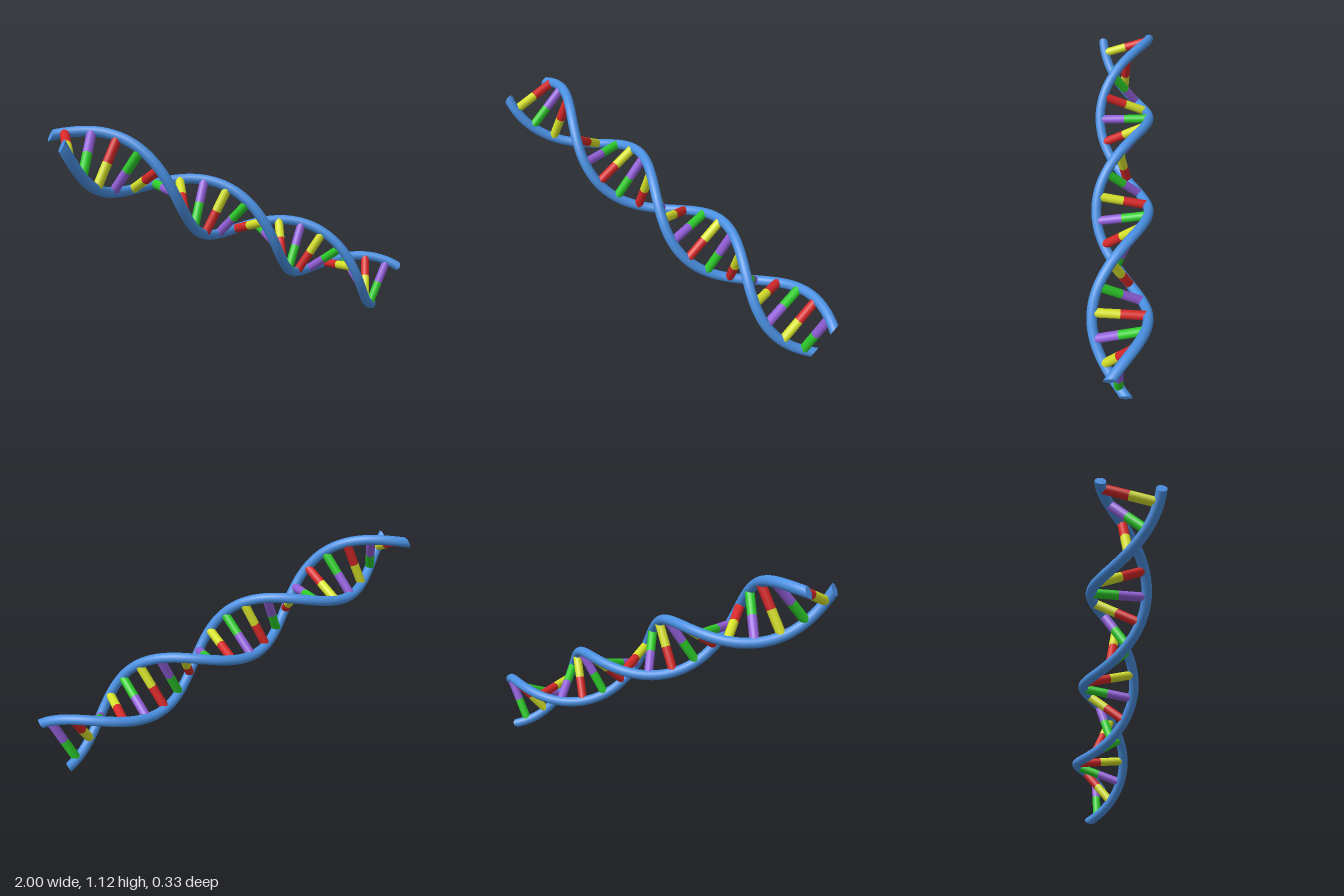
import * as THREE from 'three';
import { ParametricGeometry } from 'three/addons/geometries/ParametricGeometry.js';

const LENGTH = 2.121, RADIUS = 0.137, TUBE = 0.026, RUNG = 0.0235;
const START = THREE.MathUtils.degToRad(-82.7), SWEEP = THREE.MathUtils.degToRad(638);
const TILT = Math.atan(0.479), RUNGS = 20;
// Sections lie square to the axis, so they are stretched along the turn
const STRETCH = Math.hypot(1, (RADIUS * SWEEP) / LENGTH);

const mat = (name, color) => {
  const m = new THREE.MeshStandardMaterial({ color });
  m.name = name;
  return m;
};

// Outward and sideways directions of a strand; t runs 0..1 along the axis
function frame(t, side) {
  const a = START + t * SWEEP;
  const c = side * Math.cos(a), s = side * Math.sin(a);
  return { out: new THREE.Vector3(0, c, s), turn: new THREE.Vector3(0, -s, c) };
}

function strandTube(side) {
  return new ParametricGeometry((u, v, target) => {
    const { out, turn } = frame(v, side);
    const b = u * Math.PI * 2;
    target.set((v - 0.5) * LENGTH, 0, 0)
      .addScaledVector(out, RADIUS + TUBE * Math.cos(b))
      .addScaledVector(turn, TUBE * STRETCH * Math.sin(b));
  }, 20, 160);
}

// Flat end of a strand, cut square to the axis
function strandCap(t, side) {
  const { out, turn } = frame(t, side);
  const facing = t ? 1 : -1;
  const m = new THREE.Matrix4().makeBasis(
    out.clone().multiplyScalar(TUBE),
    turn.multiplyScalar(TUBE * STRETCH * facing),
    new THREE.Vector3(facing, 0, 0)
  );
  m.setPosition(out.multiplyScalar(RADIUS).setX((t - 0.5) * LENGTH));
  return new THREE.CircleGeometry(1, 20).applyMatrix4(m);
}

export function createModel() {
  const blue = mat('strand blue', 0x4a90e2);
  const red = mat('base red', 0xd62828);
  const yellow = mat('base yellow', 0xd6e22a);
  const green = mat('base green', 0x2dcc2a);
  const purple = mat('base purple', 0x935fda);

  const helix = new THREE.Group();
  helix.name = 'doubleHelix';

  // Two opposite strands with flat end caps
  for (const side of [1, -1]) {
    const group = new THREE.Group();
    group.name = side > 0 ? 'firstStrand' : 'secondStrand';
    const tube = new THREE.Mesh(strandTube(side), blue);
    tube.name = 'strandTube';
    group.add(tube);
    for (const t of [0, 1]) {
      const cap = new THREE.Mesh(strandCap(t, side), blue);
      cap.name = 'strandEndCap';
      group.add(cap);
    }
    helix.add(group);
  }

  // Rungs: each is two coloured halves meeting on the axis
  const half = new THREE.CylinderGeometry(RUNG, RUNG, RADIUS, 20);
  half.translate(0, RADIUS / 2, 0);
  const up = new THREE.Vector3(0, 1, 0);
  for (let i = 0; i < RUNGS; i++) {
    let pair = i < 11 ? [red, yellow] : [yellow, red];
    if (i % 4 === 1) pair = [purple, green];
    if (i % 4 === 3) pair = [green, purple];
    const t = (i + 0.5) / RUNGS;
    const rung = new THREE.Group();
    rung.name = 'rung' + (i + 1);
    rung.position.x = (t - 0.5) * LENGTH;
    [1, -1].forEach((side, k) => {
      const mesh = new THREE.Mesh(half, pair[k]);
      mesh.name = 'rungHalf';
      mesh.quaternion.setFromUnitVectors(up, frame(t, side).out);
      rung.add(mesh);
    });
    helix.add(rung);
  }

  // Lean the axis down towards +x
  helix.rotation.z = -TILT;
  helix.position.set(-0.0235, 0.599, 0);

  const model = new THREE.Group();
  model.name = 'model';
  model.add(helix);
  return model;
}
